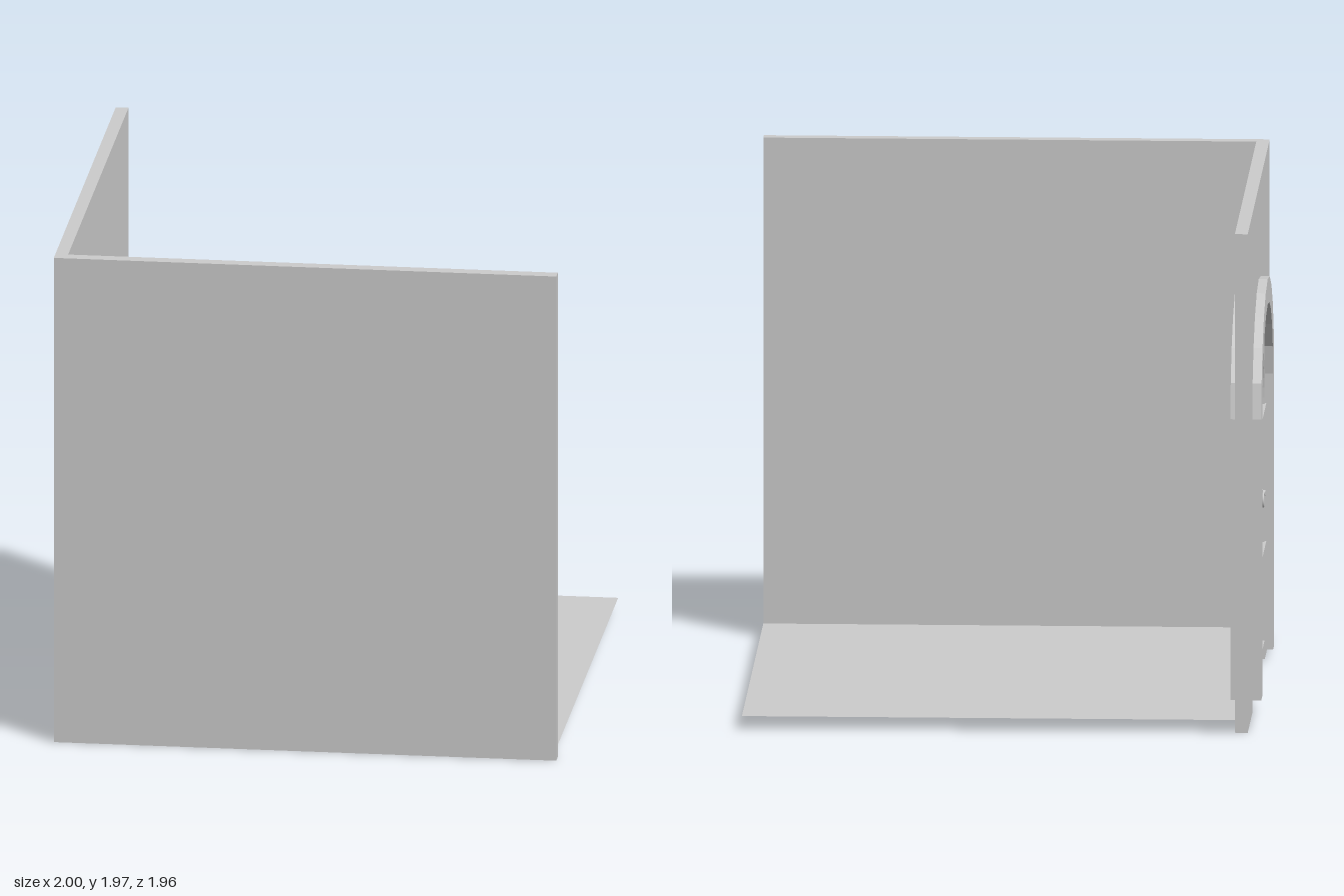
import * as THREE from 'three';

const WALL_X = -0.94; // middle plane of the door wall
const FLOOR_Y = 0.05;
const material = new THREE.MeshStandardMaterial({ color: 0xcccccc, side: THREE.DoubleSide });

function add(parent, name, geometry, x = 0, y = 0, z = 0) {
  const mesh = new THREE.Mesh(geometry, material);
  mesh.name = name;
  mesh.position.set(x, y, z);
  parent.add(mesh);
  return mesh;
}

// Outline of an arched doorway: half width, spring height, rise, base
function archPoints(halfWidth, spring, rise, base, steps = 10) {
  const points = [new THREE.Vector2(halfWidth, base)];
  for (let i = 0; i <= steps; i++) {
    const a = (Math.PI * i) / steps;
    points.push(new THREE.Vector2(halfWidth * Math.cos(a), spring + rise * Math.sin(a)));
  }
  points.push(new THREE.Vector2(-halfWidth, base));
  return points;
}

// Extrude a shape drawn in the door plane, centred through its thickness
function slab(shape, depth) {
  return new THREE.ExtrudeGeometry(shape, { depth, bevelEnabled: false })
    .translate(0, 0, -depth / 2)
    .rotateY(Math.PI / 2);
}

// Rectangular opening beside the middle stile
function panelHole(side, y0, y1) {
  return new THREE.Path([[0.04, y0], [0.455, y0], [0.455, y1], [0.04, y1]]
    .map(([x, y]) => new THREE.Vector2(side * x, y)));
}

// Quarter-arch opening beside the middle stile
function archHole(side) {
  const points = [new THREE.Vector2(side * 0.04, 1.02), new THREE.Vector2(side * 0.455, 1.02)];
  const end = Math.acos(0.04 / 0.455);
  for (let i = 0; i <= 16; i++) {
    const a = (end * i) / 16;
    points.push(new THREE.Vector2(side * 0.455 * Math.cos(a), 1.05 + 0.425 * Math.sin(a)));
  }
  return new THREE.Path(points);
}

function makeHandle() {
  const handle = new THREE.Group();
  handle.name = 'doorHandle';
  add(handle, 'handleMount', new THREE.BoxGeometry(0.022, 0.034, 0.024), 0.01, 0.022, 0);
  const knob = add(handle, 'handleKnob', new THREE.CylinderGeometry(0.011, 0.011, 0.02, 12), 0.02, 0.026, 0);
  knob.rotation.z = Math.PI / 2;
  const ring = add(handle, 'handleRing', new THREE.TorusGeometry(0.027, 0.005, 8, 20), 0.022, 0, 0);
  ring.rotation.y = Math.PI / 2;
  return handle;
}

export function createModel() {
  const model = new THREE.Group();
  model.name = 'roomCornerWithDoor';

  // Floor sheet and plain wall
  add(model, 'floor', new THREE.PlaneGeometry(1.94, 1.96).rotateX(-Math.PI / 2), 0.03, FLOOR_Y, 0);
  add(model, 'frontWall', new THREE.BoxGeometry(1.965, 1.97, 0.05), 0.0175, 0.985, 0.955);

  // Wall with the arched opening running down to the ground
  const wall = new THREE.Shape([
    new THREE.Vector2(0.98, 0), new THREE.Vector2(0.98, 1.97),
    new THREE.Vector2(-0.93, 1.97), new THREE.Vector2(-0.93, 0),
    ...archPoints(0.545, 1.15, 0.42, 0).reverse(),
  ]);
  add(model, 'doorWall', slab(wall, 0.05), WALL_X);

  const door = new THREE.Group();
  door.name = 'door';
  door.position.x = WALL_X;
  model.add(door);

  // Arched surround
  const frame = new THREE.Shape([
    ...archPoints(0.57, 1.16, 0.445, FLOOR_Y),
    ...archPoints(0.48, 1.14, 0.365, FLOOR_Y).reverse(),
  ]);
  add(door, 'doorFrame', slab(frame, 0.12));

  // Stiles and rails with six openings
  const leaf = new THREE.Shape(archPoints(0.482, 1.14, 0.365, FLOOR_Y));
  for (const side of [-1, 1]) {
    leaf.holes.push(panelHole(side, 0.09, 0.43), panelHole(side, 0.48, 0.975), archHole(side));
  }
  add(door, 'doorStiles', slab(leaf, 0.056));

  // Recessed panel behind the openings
  add(door, 'doorPanel', slab(new THREE.Shape(archPoints(0.475, 1.14, 0.36, 0.06)), 0.03));

  // Raised cross rails
  for (const y of [0.455, 1.0]) {
    add(door, 'crossRail', new THREE.BoxGeometry(0.068, 0.05, 0.95), 0, y, 0);
  }

  // Ring handles on both faces of both leaves
  for (const face of [-1, 1]) {
    for (const z of [-0.13, 0.13]) {
      const handle = makeHandle();
      handle.position.set(face * 0.015, 0.71, z);
      if (face < 0) handle.rotation.y = Math.PI;
      door.add(handle);
    }
  }
  return model;
}
